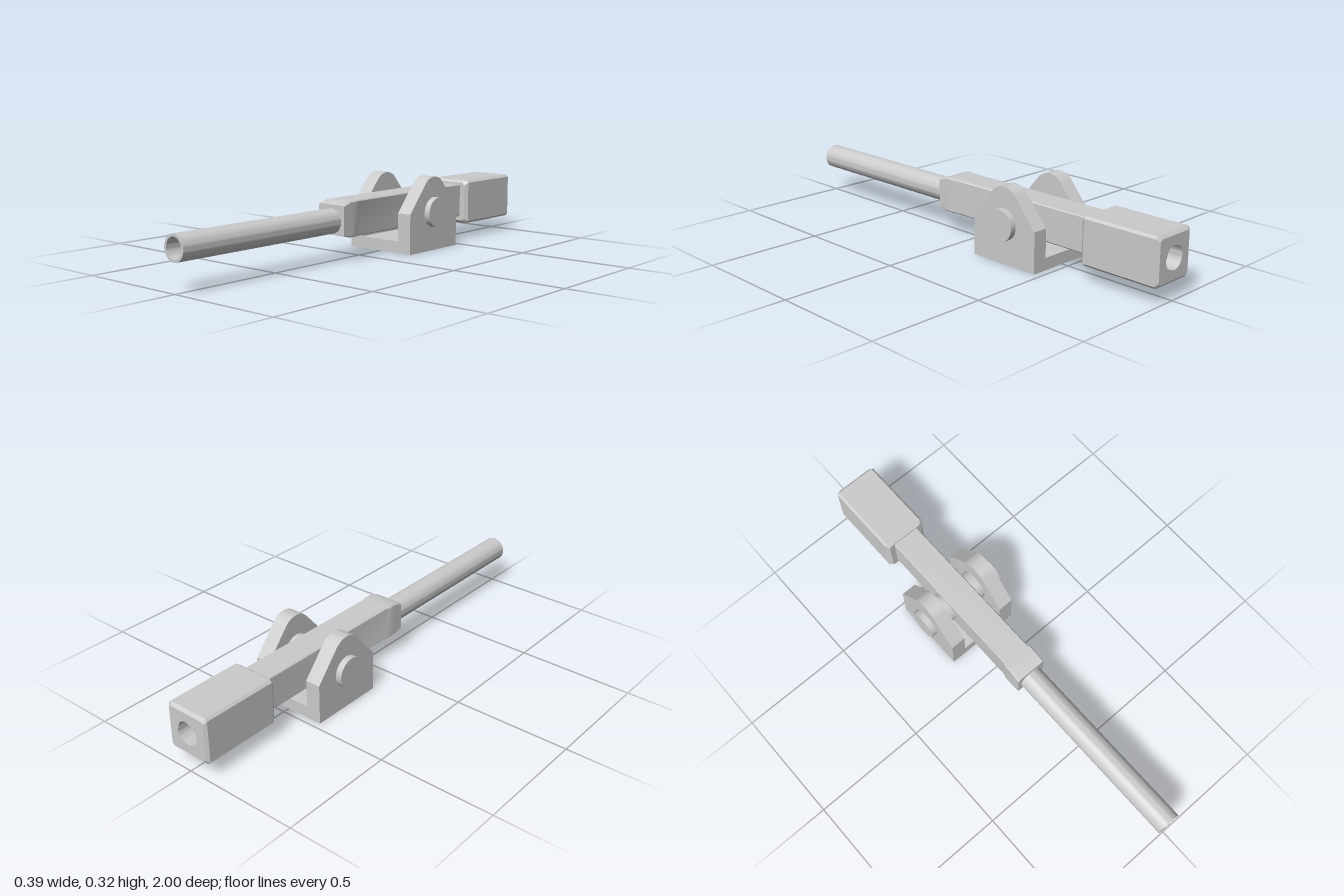
import * as THREE from 'three';
import { toCreasedNormals } from 'three/addons/utils/BufferGeometryUtils.js';

const AXIS_Y = 0.168;   // height of the barrel axis
const PIVOT_Z = -0.305; // pivot pin position
const BORE = 0.05;

const material = new THREE.MeshStandardMaterial({ color: 0xcccccc });

function add(parent, name, geometry, x = 0, y = 0, z = 0) {
  const mesh = new THREE.Mesh(geometry, material);
  mesh.name = name;
  mesh.position.set(x, y, z);
  parent.add(mesh);
  return mesh;
}

// Block with a round bore along z. Layers run back to front: [z, halfWidth, bottom, top].
function boredBlock(layers, cut) {
  const c = 1 - cut;
  const shape = new THREE.Shape(
    [[c, -1], [1, -c], [1, c], [c, 1], [-c, 1], [-1, c], [-1, -c], [-c, -1]]
      .map(([x, y]) => new THREE.Vector2(x, y)));
  shape.holes.push(new THREE.Path().absarc(0, 0, BORE, 0, Math.PI * 2, true));
  const steps = layers.length - 1;
  const geo = new THREE.ExtrudeGeometry(shape, { depth: steps, steps, bevelEnabled: false, curveSegments: 48 });
  const p = geo.attributes.position;
  for (let i = 0; i < p.count; i++) {
    const [z, half, bottom, top] = layers[Math.round(p.getZ(i))];
    const x = p.getX(i), y = p.getY(i);
    if (Math.hypot(x, y) > 0.5) {
      p.setXY(i, x * half, (bottom + top) / 2 + y * (top - bottom) / 2 - AXIS_Y);
    }
    p.setZ(i, z);
  }
  return toCreasedNormals(geo, 0.4);
}

export function createModel() {
  const model = new THREE.Group();
  model.name = 'pivotingBarrelAssembly';

  // Hollow barrel
  const tube = [[0.042, 0], [0.053, 0], [0.053, 0.9], [0.042, 0.9], [0.042, 0]]
    .map(([r, y]) => new THREE.Vector2(r, y));
  const barrel = toCreasedNormals(new THREE.LatheGeometry(tube, 48).rotateX(Math.PI / 2), 0.5);
  add(model, 'barrel', barrel, 0, AXIS_Y, 0.1);

  // Long receiver with a slightly flared, chamfered nose
  add(model, 'receiver', boredBlock([
    [-0.645, 0.063, 0.1, 0.25],
    [0.075, 0.063, 0.1, 0.25],
    [0.09, 0.069, 0.1, 0.25],
    [0.13, 0.069, 0.1, 0.25],
    [0.172, 0.069, 0.11, 0.236],
  ], 0.06), 0, AXIS_Y, 0);

  // Breech block with chamfered edges
  add(model, 'breechBlock', boredBlock([
    [-1, 0.088, 0.08, 0.256],
    [-0.988, 0.1, 0.068, 0.268],
    [-0.657, 0.1, 0.068, 0.268],
    [-0.642, 0.088, 0.08, 0.256],
  ], 0.1), 0, AXIS_Y, 0);

  // Rounded lug under the receiver, bevelled at both sides
  const lugShape = new THREE.Shape();
  lugShape.absarc(0, 0, 0.075, Math.PI * 1.28, Math.PI * 1.72, false);
  const lug = new THREE.ExtrudeGeometry(lugShape, {
    depth: 0.122, bevelThickness: 0.008, bevelSize: 0.008, bevelSegments: 1, curveSegments: 20,
  });
  lug.translate(0, 0, -0.061).rotateY(Math.PI / 2);
  add(model, 'pivotLug', toCreasedNormals(lug, 0.4), 0, AXIS_Y, PIVOT_Z);

  // Yoke: cheek profile in z and y, with a rounded top
  const yoke = new THREE.Group();
  yoke.name = 'yoke';
  model.add(yoke);
  const cheek = new THREE.Shape();
  cheek.moveTo(-0.165, 0);
  cheek.lineTo(0.165, 0);
  cheek.lineTo(0.165, 0.174);
  cheek.absarc(0, 0.243, 0.08, 0.71, Math.PI - 0.71, false);
  cheek.lineTo(-0.165, 0.174);
  cheek.closePath();
  const cheekGeo = new THREE.ExtrudeGeometry(cheek, { depth: 0.067, bevelEnabled: false, curveSegments: 24 });
  cheekGeo.translate(0, 0, -0.0335).rotateY(Math.PI / 2);
  const smoothCheek = toCreasedNormals(cheekGeo, 0.3);
  const pinGeo = new THREE.CylinderGeometry(0.066, 0.066, 0.139, 48).rotateZ(Math.PI / 2);
  for (const [side, s] of [['left', 1], ['right', -1]]) {
    add(yoke, side + 'Cheek', smoothCheek, s * 0.1335, 0, PIVOT_Z);
    add(model, side + 'PivotPin', pinGeo, s * 0.1245, AXIS_Y, PIVOT_Z);
  }
  add(yoke, 'yokeBase', new THREE.BoxGeometry(0.2, 0.052, 0.33), 0, 0.026, PIVOT_Z);

  return model;
}
